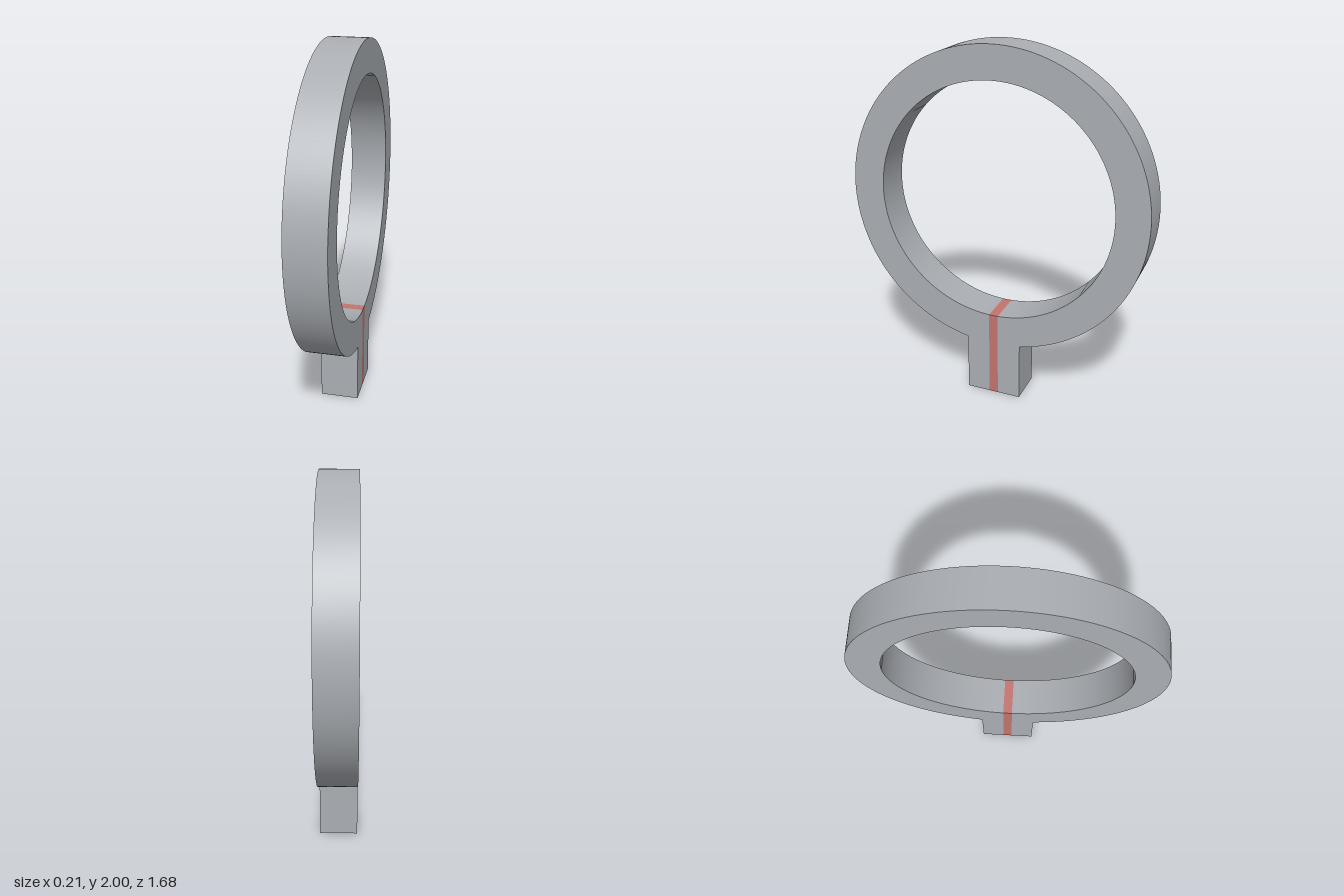
import * as THREE from 'three';
import { toCreasedNormals } from 'three/addons/utils/BufferGeometryUtils.js';

const CENTRE = 1.16, OUTER = 0.84, INNER = 0.66; // ring
const STEM = 0.157, SLOT = 0.026; // half widths
const DEPTH = 0.21;

const steel = new THREE.MeshStandardMaterial({ color: 0xaaaeb3 });
steel.name = 'steel grey';
const red = new THREE.MeshStandardMaterial({ color: 0xc2746e });
red.name = 'muted red';

// Extrude a side profile across the thickness, along x
function plate(name, shape, material) {
  const geometry = new THREE.ExtrudeGeometry(shape, { depth: DEPTH, bevelEnabled: false, curveSegments: 128 });
  geometry.translate(0, 0, -DEPTH / 2).rotateY(Math.PI / 2);
  const mesh = new THREE.Mesh(toCreasedNormals(geometry, 0.5), material);
  mesh.name = name;
  return mesh;
}

export function createModel() {
  const group = new THREE.Group();
  group.name = 'splitRing';
  const down = -Math.PI / 2, turn = Math.PI * 2;
  const a = Math.asin(STEM / OUTER), b = Math.asin(SLOT / INNER);
  const slotTop = CENTRE - INNER * Math.cos(b);

  // Ring and stem in one outline, slit at the bottom
  const body = new THREE.Shape();
  body.moveTo(SLOT, slotTop);
  body.lineTo(SLOT, 0);
  body.lineTo(STEM, 0);
  body.absarc(0, CENTRE, OUTER, down + a, down + turn - a, false);
  body.lineTo(-STEM, 0);
  body.lineTo(-SLOT, 0);
  body.absarc(0, CENTRE, INNER, down + turn - b, down + b, true);
  group.add(plate('ringAndStem', body, steel));

  // Coloured insert filling the slit, flush with the ring
  const insert = new THREE.Shape();
  insert.moveTo(-SLOT, 0);
  insert.lineTo(SLOT, 0);
  insert.absarc(0, CENTRE, INNER, down + b, down - b, true);
  group.add(plate('slitInsert', insert, red));

  return group;
}
